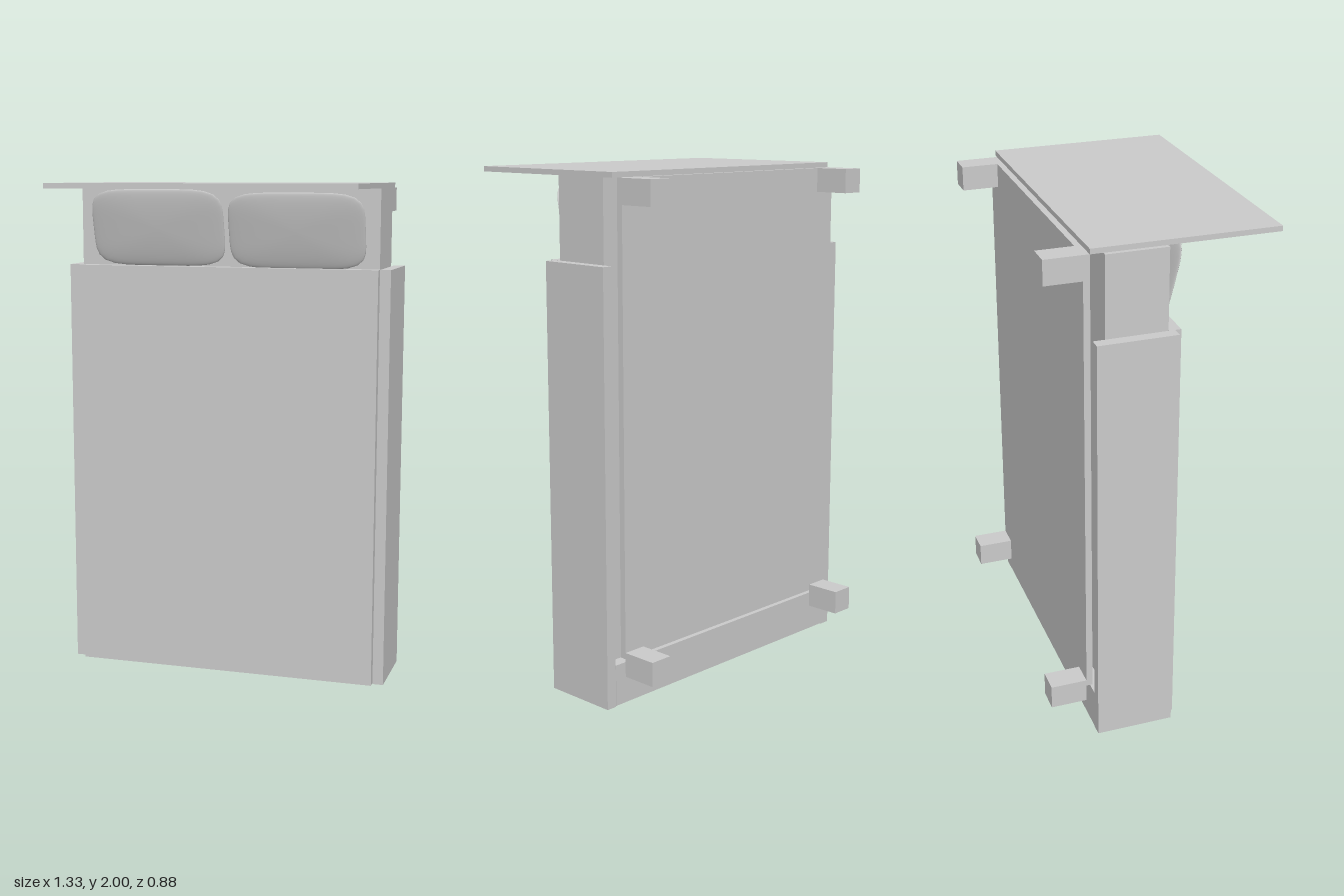
import * as THREE from 'three';

const material = new THREE.MeshStandardMaterial({ color: 0xcccccc });

// Box given by its extents on each axis
function slab(name, [x0, x1], [y0, y1], [z0, z1]) {
  const mesh = new THREE.Mesh(new THREE.BoxGeometry(x1 - x0, y1 - y0, z1 - z0), material);
  mesh.position.set((x0 + x1) / 2, (y0 + y1) / 2, (z0 + z1) / 2);
  mesh.name = name;
  return mesh;
}

// Thin cushion: a sphere squared off in outline and flattened
function pillow(name, x, y, width, height) {
  const geometry = new THREE.SphereGeometry(1, 48, 24);
  geometry.rotateX(Math.PI / 2);
  const p = geometry.attributes.position;
  const square = 5;
  for (let i = 0; i < p.count; i++) {
    const a = p.getX(i), b = p.getY(i), c = p.getZ(i);
    const r = Math.hypot(a, b);
    const norm = Math.pow(Math.abs(a) ** square + Math.abs(b) ** square, 1 / square) || 1;
    const k = r / norm;
    p.setXYZ(i, a * k * width / 2, b * k * height / 2, c * 0.014);
  }
  geometry.computeVertexNormals();
  const mesh = new THREE.Mesh(geometry, material);
  mesh.position.set(x, y, 0.057);
  mesh.rotation.x = 0.24;
  mesh.name = name;
  return mesh;
}

// A bed standing upright on its foot end
export function createModel() {
  const bed = new THREE.Group();
  bed.name = 'bed';

  // Headboard, mattress and base
  bed.add(slab('headboard', [-0.6, 0.616], [1.98, 2], [-0.273, 0.44]));
  bed.add(slab('mattress', [-0.618, 0.615], [0.04, 1.98], [-0.225, 0.01]));
  bed.add(slab('baseBoard', [-0.598, 0.592], [0.19, 1.98], [-0.297, -0.272]));

  // Blanket: top sheet, folded foot and two hanging sides
  bed.add(slab('blanketTop', [-0.622, 0.618], [0, 1.67], [0.01, 0.057]));
  bed.add(slab('blanketFoot', [-0.622, 0.618], [0.003, 0.165], [-0.272, 0.034]));
  bed.add(slab('blanketRight', [-0.667, -0.622], [0, 1.67], [-0.272, 0.034]));
  bed.add(slab('blanketLeft', [0.62, 0.663], [0, 1.67], [-0.272, 0.034]));

  // Four legs
  for (const x of [-0.598, 0.498]) {
    for (const y of [0.12, 1.885]) {
      bed.add(slab('leg', [x, x + 0.094], [y, y + 0.095], [-0.44, -0.297]));
    }
  }

  // Pillows leaning out from the mattress
  bed.add(pillow('pillowRight', -0.276, 1.823, 0.552, 0.313));
  bed.add(pillow('pillowLeft', 0.293, 1.815, 0.548, 0.305));

  return bed;
}
